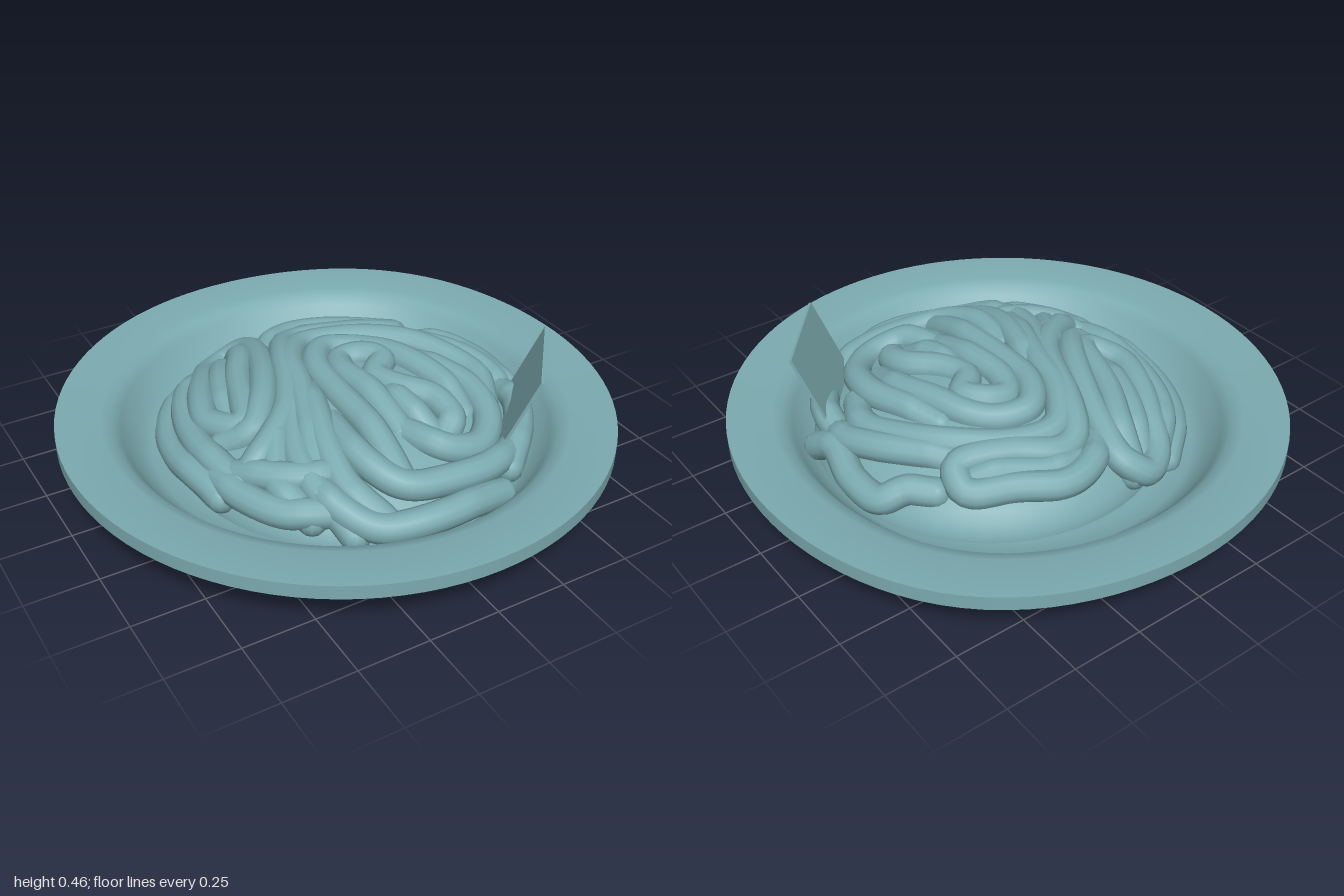
import * as THREE from 'three';
import { toCreasedNormals } from 'three/addons/utils/BufferGeometryUtils.js';

const material = new THREE.MeshStandardMaterial({ color: 0x7cabb0 });
const NOODLE_RADIUS = 0.052;
const MOUND = { x: 0.045, z: 0.05, base: 0.045, radius: 0.67, height: 0.262 };

function mesh(geometry, name) {
  const m = new THREE.Mesh(geometry, material);
  m.name = name;
  return m;
}

// Height of the noodle centre line on the rounded mound
function moundHeight(x, z) {
  const r = Math.hypot(x - MOUND.x, z - MOUND.z) / MOUND.radius;
  return MOUND.base + MOUND.height * Math.sqrt(Math.max(0.04, 1 - r * r));
}

// One noodle draped over the mound, its ends tucked in; path holds x, z pairs in hundredths
function noodle(path, lift = 0) {
  const flat = [];
  for (let i = 0; i < path.length; i += 2) {
    flat.push(new THREE.Vector3(path[i] / 100, 0, path[i + 1] / 100));
  }
  const plan = new THREE.CatmullRomCurve3(flat, false, 'centripetal');
  const count = flat.length * 3;
  const points = plan.getPoints(count).map((p, i) => {
    const ripple = 0.006 * Math.sin(i * 0.55 + path[0]);
    const tuck = 0.03 * Math.max(0, 1 - Math.min(i, count - i) / 3);
    return new THREE.Vector3(p.x, moundHeight(p.x, p.z) + ripple + lift - tuck, p.z);
  });
  const curve = new THREE.CatmullRomCurve3(points);
  const group = new THREE.Group();
  group.name = 'noodle';
  group.add(mesh(new THREE.TubeGeometry(curve, count * 3, NOODLE_RADIUS, 12), 'noodleStrand'));
  for (const end of [points[0], points[points.length - 1]]) {
    const cap = mesh(new THREE.SphereGeometry(NOODLE_RADIUS, 12, 8), 'noodleEnd');
    cap.position.copy(end);
    group.add(cap);
  }
  return group;
}

// Deep plate with a broad flat rim, slightly oval and drawn out at the back left
function createPlate() {
  const profile = [
    [0, 0], [0.18, 0], [0.69, 0.01], [0.715, 0.025], [0.805, 0.15],
    [1, 0.16], [1, 0.21],
    [0.84, 0.207], [0.8, 0.196], [0.77, 0.165], [0.72, 0.09], [0.67, 0.062], [0.6, 0.055], [0, 0.05],
  ].map(([r, y]) => new THREE.Vector2(r, y));
  const geometry = new THREE.LatheGeometry(profile, 96);
  const position = geometry.attributes.position;
  for (let i = 0; i < position.count; i++) {
    const x = position.getX(i);
    const z = position.getZ(i);
    const toCorner = Math.max(0, Math.cos(Math.atan2(z, x) + Math.PI / 4));
    const stretch = 1 + 0.035 * toCorner ** 8;
    position.setX(i, x * stretch * 0.975);
    position.setZ(i, z * stretch * 0.995);
  }
  return mesh(toCreasedNormals(geometry, 1.2), 'plate');
}

// Smooth mound filling the gaps beneath the noodles
function createMound() {
  const dome = mesh(new THREE.SphereGeometry(1, 48, 12, 0, Math.PI * 2, 0, Math.PI / 2), 'noodleMound');
  dome.scale.set(0.63, 0.265, 0.63);
  dome.position.set(MOUND.x, MOUND.base, MOUND.z);
  return dome;
}

// Thin square card leaning outward, placed from three of its corners
function createCard() {
  const topFront = new THREE.Vector3(0.435, 0.46, 0.59);
  const topBack = new THREE.Vector3(0.675, 0.46, 0.3);
  const bottomFront = new THREE.Vector3(0.325, 0.12, 0.495);
  const across = topBack.clone().sub(topFront);
  const up = topFront.clone().sub(bottomFront);
  const card = mesh(new THREE.BoxGeometry(across.length(), up.length(), 0.01), 'card');
  card.position.copy(topBack).add(bottomFront).multiplyScalar(0.5);
  const u = across.normalize();
  const n = new THREE.Vector3().crossVectors(u, up).normalize();
  const v = new THREE.Vector3().crossVectors(n, u);
  card.quaternion.setFromRotationMatrix(new THREE.Matrix4().makeBasis(u, v, n));
  return card;
}

export function createModel() {
  const model = new THREE.Group();
  model.name = 'plateOfNoodles';

  const noodles = new THREE.Group();
  noodles.name = 'noodles';
  noodles.add(
    // Central hook and the arches around it
    noodle([6, 35, 5, 14, 4, -2, 8, -10, 15, -9, 20, -2, 13, 6, 16, 16, 24, 27, 24, 37, 19, 40]),
    noodle([-5, 51, -4, 29, -4, 8, -2, -10, 6, -20, 16, -18, 24, -10, 29, 3, 33, 19, 32, 32]),
    noodle([-29, 40, -21, 19, -13, -2, -8, -18, 3, -31, 19, -29, 35, -18, 45, -5, 51, 13, 45, 27]),
    noodle([12, 12, 13, 26, 16, 38], -0.01),
    // Front loops
    noodle([7, 35, 13, 47, 26, 49, 37, 40, 41, 24, 37, 8, 32, -5]),
    noodle([-13, 19, -14, 40, -7, 54, 8, 58, 27, 57, 43, 48]),
    noodle([-31, 38, -29, 50, -21, 61, -8, 66, 8, 67, 27, 63]),
    // Strands running from the front left up to the middle
    noodle([-16, 60, -22, 48, -21, 32, -15, 12, -9, -6], -0.005),
    noodle([-26, 58, -31, 44, -30, 28, -22, 10, -15, -6], -0.01),
    noodle([-36, 48, -40, 34, -34, 20, -26, 6], -0.005),
    // Back left folds
    noodle([-13, -53, -18, -39, -26, -24, -38, 3, -45, -8, -42, -21, -34, -37, -26, -50,
      -16, -55, -10, -50, -12, -37, -19, -18, -29, 0, -37, 8, -45, 3]),
    noodle([-20, -48, -27, -36, -34, -20, -38, -6], -0.015),
    // Back fold running down to the left
    noodle([-8, -39, 0, -47, 13, -50, 29, -42, 42, -34, 40, -26, 24, -31, 8, -39, 0, -37,
      -8, -24, -16, -5, -24, 8, -39, 20, -50, 24]),
    noodle([2, -43, 14, -43, 28, -36, 40, -30], -0.01),
    // Left edge
    noodle([-55, 21, -58, 0, -55, -20, -46, -37, -32, -49]),
    noodle([-49, 24, -52, 3, -49, -18, -41, -36, -29, -47]),
    noodle([-53, 8, -51, 27, -42, 44, -26, 52]),
    noodle([-51, 14, -41, 30, -30, 38, -20, 40]),
    // Right edge
    noodle([48, -26, 56, -20, 63, -16, 65, -2, 62, 13, 63, 24]),
    noodle([35, -24, 45, -13, 54, 0, 58, 13, 56, 24]),
    // Noodle arching past the card
    noodle([34, 57, 45, 47, 52, 38, 56, 30, 57, 20], 0.015),
  );

  model.add(createPlate(), createMound(), noodles, createCard());
  return model;
}
